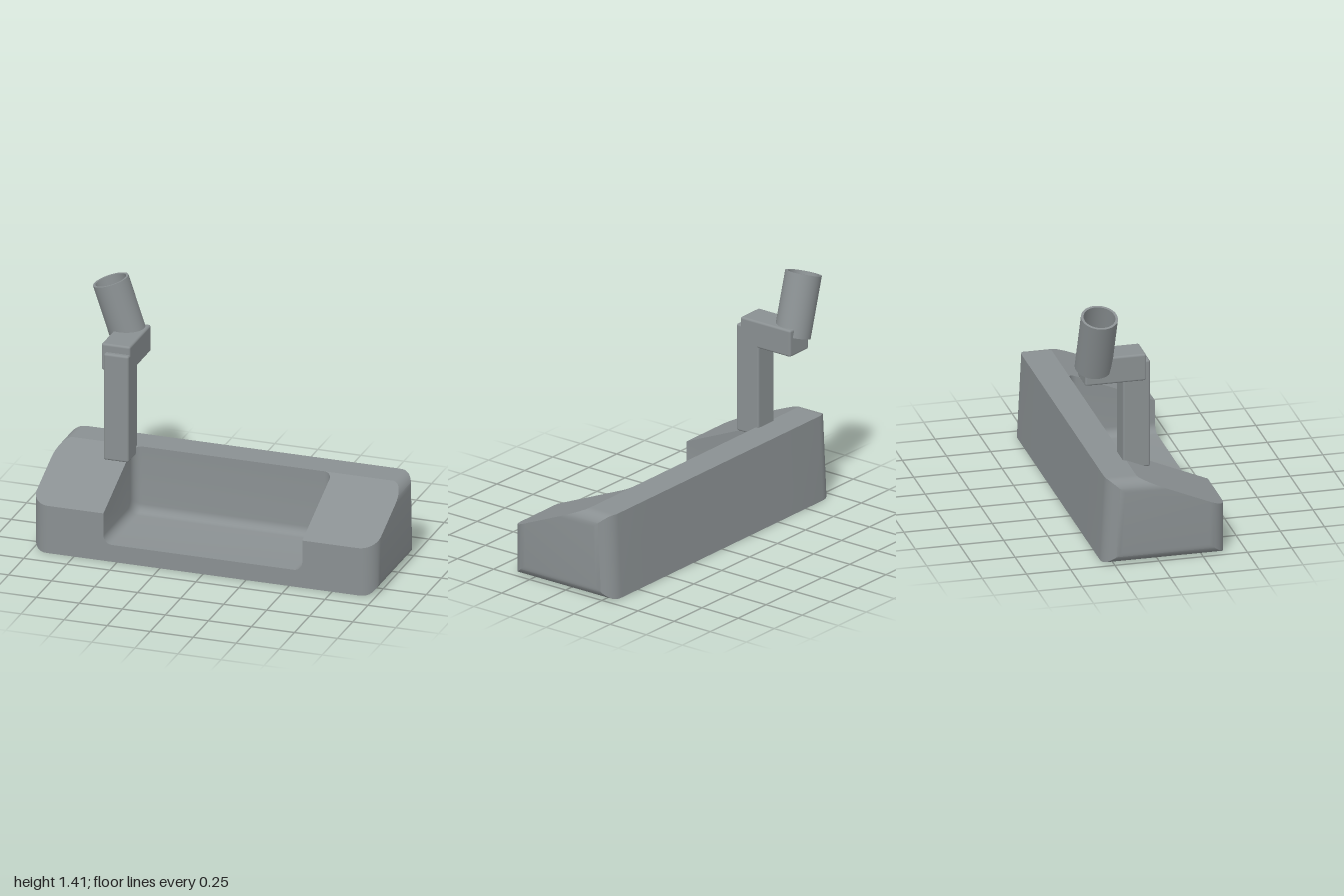
import * as THREE from 'three';
import { toCreasedNormals } from 'three/addons/utils/BufferGeometryUtils.js';
import { RoundedBoxGeometry } from 'three/addons/geometries/RoundedBoxGeometry.js';

const FRONT = 0.385, BACK = -0.31, TOP = 0.49, LIP = 0.28, RIDGE = -0.11;
const SLOPE = (TOP - LIP) / (FRONT - RIDGE);
const CAVITY = 0.578, FLOOR = 0.1, FILLET = 0.05, CORNER = 0.1, EDGE = 0.07;
const ARC = 6;

// height of the sloping top at depth z
const slopeY = (z) => Math.min(TOP, LIP + (FRONT - z) * SLOPE);
// how far a round of radius r cuts in, d past its start
const round = (d, r) => (d <= 0 ? 0 : r - Math.sqrt(Math.max(0, r * r - d * d)));

// upper line of the cavity section: floor, fillet, rear wall; as [z, y]
function cavityLine(x) {
  const e = round(Math.abs(x) - (CAVITY - FILLET), FILLET);
  const floor = FLOOR + e, wall = RIDGE + e;
  const line = [[FRONT, floor]];
  for (let i = 0; i <= ARC; i++) {
    const t = (i / ARC) * Math.PI / 2;
    line.push([wall + FILLET * (1 - Math.sin(t)), floor + FILLET * (1 - Math.cos(t))]);
  }
  line.push([wall, slopeY(wall)], [RIDGE, TOP]);
  return line;
}

// closed section of the head at x, cut by the cavity or solid
function section(x, cut) {
  const inset = round(Math.abs(x) - (1 - CORNER), CORNER);
  const drop = round(Math.abs(x) - (1 - EDGE), EDGE);
  const front = FRONT - inset, cap = TOP - drop;
  const crease = RIDGE + drop / SLOPE;
  const line = cavityLine(cut ? x : CAVITY);
  const upper = cut ? line : line.map(([z]) => {
    const f = (FRONT - z) / (FRONT - RIDGE);
    const zz = front + (crease - front) * f;
    return [zz, Math.min(cap, slopeY(zz))];
  });
  const backZ = (y) => BACK + 0.025 * y / TOP + inset;
  return [...upper, [backZ(cap), cap], [backZ(drop), drop], [front, drop]]
    .map(([z, y]) => [x, y, z]);
}

// head lofted through sections from one end to the other
function headGeometry() {
  const half = [];
  for (let i = 0; i <= ARC; i++) {
    half.push([CAVITY - FILLET * (1 - Math.sin((i / ARC) * Math.PI / 2)), true]);
  }
  half.push([CAVITY, false]);
  for (let i = 0; i <= 10; i++) {
    half.push([1 - CORNER + CORNER * Math.sin((i / 10) * Math.PI / 2), false]);
  }
  const stations = [...half.map(([x, c]) => [-x, c]).reverse(), ...half];
  const rings = stations.map(([x, c]) => section(x, c));
  const pos = [];
  const tri = (...p) => p.forEach((v) => pos.push(...v));
  const n = rings[0].length;
  for (let i = 0; i < rings.length - 1; i++) {
    for (let j = 0; j < n; j++) {
      const k = (j + 1) % n, A = rings[i], B = rings[i + 1];
      tri(A[j], B[j], B[k]);
      tri(A[j], B[k], A[k]);
    }
  }
  const L = rings[0], R = rings[rings.length - 1];
  for (let j = 1; j < n - 1; j++) {
    tri(L[0], L[j], L[j + 1]);
    tri(R[0], R[j + 1], R[j]);
  }
  const g = new THREE.BufferGeometry();
  g.setAttribute('position', new THREE.Float32BufferAttribute(pos, 3));
  return toCreasedNormals(g, 0.4);
}

export function createModel() {
  const group = new THREE.Group();
  const steel = new THREE.MeshStandardMaterial({ color: 0x8a9092 });
  steel.name = 'brushed steel';

  const add = (name, geometry) => {
    const mesh = new THREE.Mesh(geometry, steel);
    mesh.name = name;
    group.add(mesh);
    return mesh;
  };
  // softly rounded block given by its limits
  const block = (name, [x0, x1], [y0, y1], [z0, z1]) => {
    const mesh = add(name, new RoundedBoxGeometry(x1 - x0, y1 - y0, z1 - z0, 3, 0.012));
    mesh.position.set((x0 + x1) / 2, (y0 + y1) / 2, (z0 + z1) / 2);
  };

  add('head', headGeometry());

  // offset neck
  block('neckPost', [-0.705, -0.56], [0.44, 1.07], [-0.127, 0.027]);
  block('neckArm', [-0.727, -0.56], [0.96, 1.117], [-0.347, 0]);

  // hollow, leaning socket for the shaft
  const length = 0.354, r = 0.102, bore = 0.088;
  const profile = [[0, 0], [r, 0], [r, length], [bore, length], [bore, 0.04], [0, 0.04]]
    .map(([x, y]) => new THREE.Vector2(x, y));
  const socket = add('shaftSocket', toCreasedNormals(new THREE.LatheGeometry(profile, 40), 0.6));
  const base = new THREE.Vector3(-0.66, 1.042, -0.285);
  const tip = new THREE.Vector3(-0.77, 1.378, -0.278);
  socket.position.copy(base);
  socket.quaternion.setFromUnitVectors(new THREE.Vector3(0, 1, 0), tip.sub(base).normalize());

  return group;
}
